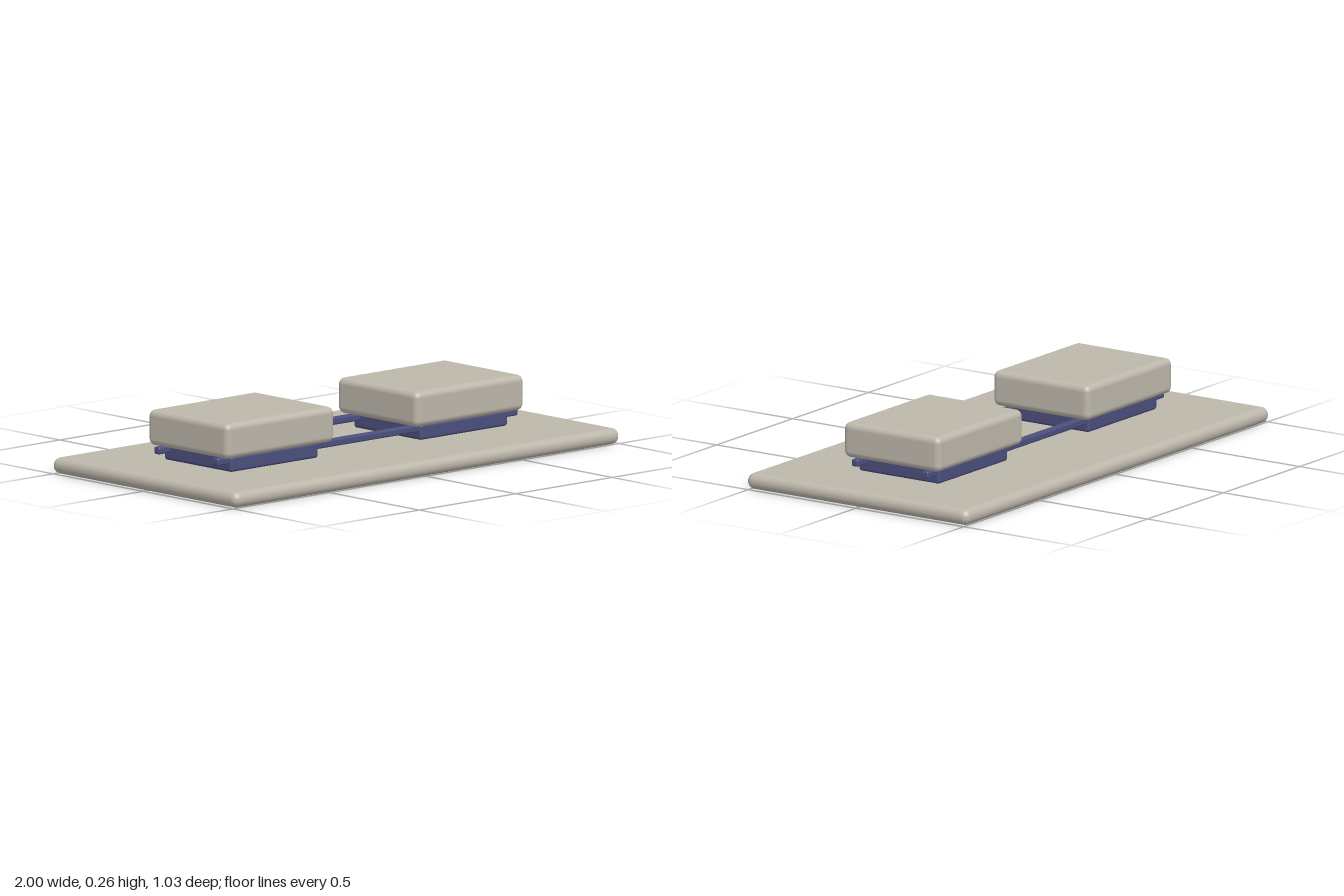
import * as THREE from 'three';
import { RoundedBoxGeometry } from 'three/addons/geometries/RoundedBoxGeometry.js';

export function createModel() {
  const group = new THREE.Group();
  const stone = new THREE.MeshStandardMaterial({ color: 0xbdb7ab });
  stone.name = 'warm grey';
  const navy = new THREE.MeshStandardMaterial({ color: 0x4b4f7d });
  navy.name = 'slate blue';

  // Rounded box given by its size, centre height and position on the plan
  function block(name, material, [w, h, d], [x, y, z], radius) {
    const mesh = new THREE.Mesh(new RoundedBoxGeometry(w, h, d, 5, radius), material);
    mesh.name = name;
    mesh.position.set(x, y, z);
    group.add(mesh);
  }

  // Wide base slab with fully rounded edges
  block('baseSlab', stone, [2, 0.062, 1.03], [0, 0.031, 0], 0.03);

  // A raised pad on a recessed plinth at each end
  for (const [side, s] of [['left', 1], ['right', -1]]) {
    block(side + 'Plinth', navy, [0.454, 0.06, 0.374], [s * 0.491, 0.092, 0], 0.011);
    block(side + 'Pad', stone, [0.562, 0.137, 0.446], [s * 0.491, 0.189, 0], 0.025);
  }

  // Two slim rails joining the plinths, front and back
  for (const [end, s] of [['front', 1], ['back', -1]]) {
    block(end + 'Rail', navy, [1.558, 0.028, 0.031], [0, 0.107, s * 0.163], 0.007);
  }

  return group;
}
